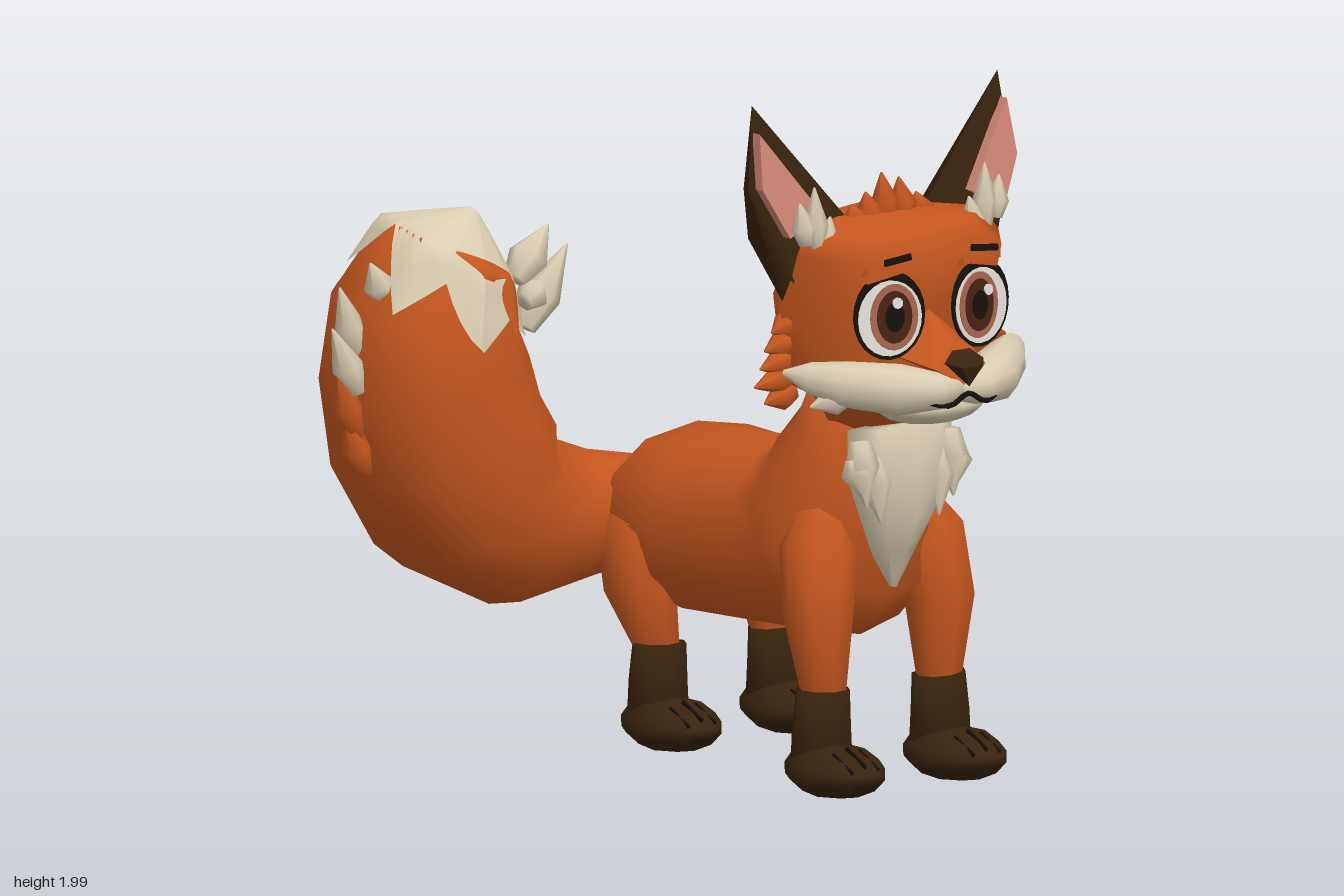
import * as THREE from 'three';
import { toCreasedNormals } from 'three/addons/utils/BufferGeometryUtils.js';
import { ConvexGeometry } from 'three/addons/geometries/ConvexGeometry.js';

const V = (x, y, z) => new THREE.Vector3(x, y, z);
const mat = (name, color, side = THREE.FrontSide) => new THREE.MeshStandardMaterial({ name, color, side });
const M = {
  orange: mat('orange fur', 0xc6571f, THREE.DoubleSide),
  brown: mat('dark brown fur', 0x38230d),
  cream: mat('cream fur', 0xd9ccb0, THREE.DoubleSide),
  pink: mat('ear pink', 0xcd8472),
  white: mat('eye white', 0xe6e2dc),
  iris: mat('iris rim', 0xa8674f),
  deep: mat('iris brown', 0x4a2114),
  black: mat('black', 0x15100c),
};
const pow = (c, k) => Math.sign(c) * Math.abs(c) ** k;

// Closed smooth skin over a list of rings, wound outwards
function skin(rings) {
  const n = rings[0].length, pos = [], idx = [];
  rings.forEach(r => r.forEach(p => pos.push(p.x, p.y, p.z)));
  for (let i = 0; i < rings.length - 1; i++) for (let j = 0; j < n; j++) {
    const a = i * n + j, b = i * n + (j + 1) % n;
    idx.push(a, b, a + n, b, b + n, a + n);
  }
  [0, rings.length - 1].forEach((k, e) => {
    const c = rings[k].reduce((s, p) => s.add(p), V(0, 0, 0)).divideScalar(n);
    const m = pos.length / 3;
    pos.push(c.x, c.y, c.z);
    for (let j = 0; j < n; j++) {
      const a = k * n + j, b = k * n + (j + 1) % n;
      e ? idx.push(a, b, m) : idx.push(b, a, m);
    }
  });
  const at = i => V(pos[3 * i], pos[3 * i + 1], pos[3 * i + 2]);
  let vol = 0;
  for (let i = 0; i < idx.length; i += 3) vol += at(idx[i]).dot(at(idx[i + 1]).cross(at(idx[i + 2])));
  if (vol < 0) idx.reverse();
  return indexed(pos, idx);
}
function indexed(pos, idx) {
  const g = new THREE.BufferGeometry();
  g.setAttribute('position', new THREE.Float32BufferAttribute(pos, 3));
  g.setIndex(idx);
  g.computeVertexNormals();
  return g;
}

// Rounded rings along a path; radii are [along ref, across]
function ringsAlong(pts, radii, ref, n, k = 1) {
  return pts.map((p, i) => {
    const t = pts[Math.min(i + 1, pts.length - 1)].clone().sub(pts[Math.max(i - 1, 0)]).normalize();
    const b = t.clone().cross(ref).normalize(), a = t.clone().cross(b);
    if (a.dot(ref) < 0) a.negate();
    return Array.from({ length: n }, (_, j) => {
      const w = j / n * Math.PI * 2;
      return p.clone().addScaledVector(a, pow(Math.cos(w), k) * radii[i][0]).addScaledVector(b, pow(Math.sin(w), k) * radii[i][1]);
    });
  });
}
const limb = (pts, radii, ref = V(0, 0, 1), n = 8) => skin(ringsAlong(pts, radii, ref, n));

export function createModel() {
  const root = new THREE.Group(), fox = new THREE.Group();
  fox.name = 'fox';
  fox.position.x = 0.365;
  root.add(fox);
  const add = (name, geo, m, parent = fox) => {
    const mesh = new THREE.Mesh(geo, m);
    mesh.name = name;
    parent.add(mesh);
    return mesh;
  };
  // Pointed tuft of fur
  const tuft = (name, b, t, r, m, parent) => {
    const d = t.clone().sub(b).normalize(), ref = Math.abs(d.y) > 0.8 ? V(0, 0, 1) : V(0, 1, 0);
    add(name, limb([b, b.clone().lerp(t, 0.4), t], [[r * 0.6, r * 0.6], [r, r], [0.003, 0.003]], ref, 6), m, parent);
  };

  // Body: each ring is back/top (z, y), belly/front (z, y), half width
  const body = [[-.585, .78, -.57, .68, .07], [-.42, .9, -.47, .42, .32], [-.25, .91, -.28, .37, .285], [.06, .94, .08, .39, .26],
    [.1, .94, .36, .42, .265], [.15, 1, .51, .56, .275], [.21, 1.08, .54, .88, .2], [.24, 1.17, .52, 1.12, .15]];
  add('body', skin(body.map(([z1, y1, z2, y2, w]) => Array.from({ length: 12 }, (_, j) => {
    const a = j / 12 * Math.PI * 2, k = Math.cos(a) / 2;
    return V(pow(Math.sin(a), .85) * w, (y1 + y2) / 2 + k * (y1 - y2), (z1 + z2) / 2 + k * (z1 - z2));
  }))), M.orange);

  // Head: y, half width, back z, front z
  const head = [[1.03, .13, .24, .53], [1.14, .22, .25, .64], [1.21, .35, .23, .68], [1.42, .36, .19, .69],
    [1.575, .345, .27, .75], [1.635, .31, .33, .64], [1.66, .18, .36, .54]];
  const plan = [[0, 1], [.64, .93], [1, .15], [.72, -.55], [0, -1], [-.72, -.55], [-1, .15], [-.64, .93]];
  add('head', skin(head.map(([y, w, b, f]) => plan.map(([x, t]) => V(x * w, y, (b + f) / 2 + t * (f - b) / 2)))), M.orange);

  // Snout, chin, nose and mouth
  add('snoutBridge', new ConvexGeometry([V(0, 1.41, .69), V(.14, 1.3, .68), V(-.14, 1.3, .68), V(.085, 1.27, .845),
    V(-.085, 1.27, .845), V(0, 1.34, .81), V(0, 1.22, .86)]), M.orange);
  const chin = add('chin', new THREE.SphereGeometry(1, 14, 10), M.cream);
  chin.position.set(0, 1.145, .69);
  chin.scale.set(.17, .06, .13);
  add('nose', new ConvexGeometry([V(.068, 1.29, .86), V(-.068, 1.29, .86), V(.03, 1.32, .845), V(-.03, 1.32, .845),
    V(0, 1.22, .885), V(.035, 1.28, .905), V(-.035, 1.28, .905)]), M.brown);
  const lip = new THREE.CatmullRomCurve3([V(-.13, 1.185, .845), V(-.06, 1.17, .875), V(0, 1.2, .88), V(.06, 1.17, .875), V(.13, 1.185, .845)]);
  add('mouth', new THREE.TubeGeometry(lip, 16, .008, 5), M.black);

  // Hair on top
  [[-.115, 1.69], [-.065, 1.72], [-.01, 1.77], [.05, 1.75], [.11, 1.7]].forEach(([x, y]) =>
    tuft('foreheadHair', V(x + .01, 1.62, .49), V(x - .01, y, .49), .043, M.orange));

  for (const s of [1, -1]) {
    const P = (x, y, z) => V(x * s, y, z);
    // Muzzle lobe sweeping back over the cheek
    add('muzzle', limb([P(.0, 1.205, .835), P(.06, 1.205, .83), P(.16, 1.21, .77), P(.28, 1.225, .67), P(.35, 1.24, .6), P(.395, 1.25, .54)],
      [[.035, .03], [.052, .06], [.075, .08], [.066, .06], [.045, .04], [.008, .008]], V(0, 1, 0), 10), M.cream);
    tuft('muzzleTuft', P(.26, 1.19, .67), P(.36, 1.16, .62), .045, M.cream);

    // Eye: stacked thin discs
    const eye = new THREE.Group();
    eye.name = 'eye';
    eye.position.set(.157 * s, 1.415, .718);
    eye.rotation.set(-.03, .16 * s, 0);
    fox.add(eye);
    [['eyeOutline', .112, .127, 0, M.black], ['eyeWhite', .1, .108, -.008, M.white], ['irisRim', .075, .095, -.005, M.iris],
      ['iris', .055, .075, -.005, M.deep], ['pupil', .03, .042, -.005, M.black]].forEach(([n, rx, ry, y, m], i) => {
      const d = add(n, new THREE.CylinderGeometry(1, 1, .006, 24), m, eye);
      d.rotation.x = Math.PI / 2;
      d.scale.set(rx, 1, ry);
      d.position.set(i > 1 ? -.012 * s : 0, y, i * .003);
    });
    const glint = add('eyeGlint', new THREE.CylinderGeometry(.016, .016, .006, 12), M.white, eye);
    glint.rotation.x = Math.PI / 2;
    glint.position.set(.02, .035, .015);
    const lid = add('eyelid', new ConvexGeometry([P(.06, 1.525, .71), P(.25, 1.525, .67), P(.08, 1.56, .75), P(.23, 1.56, .72),
      P(.08, 1.535, .752), P(.23, 1.535, .722)]), M.orange);
    lid.position.z = -.005;
    const brow = add('eyebrow', new THREE.BoxGeometry(.09, .018, .009), M.black);
    brow.position.set(.15 * s, 1.578, .75);
    brow.rotation.z = -.1 * s;

    // Ear shell, pink lining and tufts
    add('ear', toCreasedNormals(new ConvexGeometry([P(.425, 2, .43), P(.455, 1.76, .455), P(.35, 1.43, .48), P(.345, 1.5, .525), P(.14, 1.66, .48),
      P(.2, 1.64, .37), P(.29, 1.68, .335), P(.38, 1.6, .35), P(.41, 1.75, .37), P(.3, 1.5, .38)]), .9), M.brown);
    const lining = [[.428, 1.925, .472], [.44, 1.77, .505], [.37, 1.63, .54], [.26, 1.69, .54]];
    add('earLining', new ConvexGeometry(lining.flatMap(([x, y, z]) => [P(x, y, z), P(x, y, z - .035)])), M.pink);
    [[.26, 1.68, .24], [.29, 1.77, .295], [.325, 1.73, .345]].forEach(([x, y, tx], i) =>
      tuft('earTuft', P(x, 1.57 + .02 * i, .555), P(tx, y, .55), .036, M.cream));

    // Cheek fur
    [1.16, 1.21, 1.26, 1.31, 1.36].forEach((y, i) =>
      tuft('cheekFur', P(.31, y + .015, .47), P([.41, .445, .425, .41, .385][i], y - .01, .47), .043, M.orange));

    // Bib side tufts
    [[.155, 1.03, .15, .84], [.11, .98, .1, .79], [.17, .98, .16, .87]].forEach(([x, y, tx, ty]) =>
      tuft('bibTuft', P(x, y, .575), P(tx, ty, .6), .05, M.cream));

    // Legs, socks and paws
    add('frontLeg', limb([P(.12, .88, .36), P(.185, .7, .42), P(.21, .52, .45), P(.2, .3, .46), P(.2, .19, .425)],
      [[.05, .05], [.11, .115], [.095, .105], [.06, .07], [.03, .02]]), M.orange);
    add('hindLeg', limb([P(.14, .82, -.4), P(.215, .63, -.41), P(.225, .46, -.385), P(.2, .29, -.34), P(.2, .15, -.395)],
      [[.05, .05], [.14, .11], [.11, .1], [.06, .07], [.015, .03]]), M.orange);
    for (const z of [.46, -.325]) {
      add('sock', limb([P(.2, .305, z), P(.205, .2, z), P(.205, .07, z)], [[.065, .085], [.072, .092], [.075, .1]]), M.brown);
      add('paw', limb([P(.205, .075, z - .085), P(.205, .083, z), P(.21, .083, z + .1), P(.21, .08, z + .18), P(.21, .085, z + .23)],
        [[.05, .07], [.075, .115], [.075, .135], [.055, .1], [.02, .05]], V(0, 1, 0), 10), M.brown);
      for (const x of [-.045, 0, .045]) {
        const slit = add('toeLine', new THREE.BoxGeometry(.007, .03, .1), M.black);
        slit.position.set((.21 + x) * s, .128 - Math.abs(x) * .3, z + .168);
        slit.rotation.x = .4;
      }
    }
  }

  // Chest bib narrowing to a point
  add('bib', skin([[1.06, .18, .55, .63], [.92, .18, .55, .64], [.8, .13, .54, .635], [.7, .08, .52, .585], [.585, .008, .515, .535]]
    .map(([y, w, b, f]) => [[-1, b], [-.6, (b + 2 * f) / 3], [0, f], [.6, (b + 2 * f) / 3], [1, b], [0, b - .04]].map(([x, z]) => V(x * w, y, z)))), M.cream);

  // Tail in world coordinates
  const tail = new THREE.Group();
  tail.name = 'tail';
  root.add(tail);
  const path = [V(.36, .66, -.44), V(.1, .645, -.58), V(-.14, .65, -.62), V(-.31, .77, -.6), V(-.42, .94, -.59), V(-.47, 1.13, -.575),
    V(-.48, 1.3, -.56), V(-.42, 1.475, -.535), V(-.35, 1.57, -.51)];
  const N = 12;
  const rings = ringsAlong(path, [[.11, .13], [.18, .18], [.27, .25], [.3, .3], [.3, .3], [.295, .285], [.275, .25], [.2, .19], [.004, .004]], V(0, 0, 1), N, .88);
  add('tailFur', skin(rings), M.orange, tail);
  // Point on the tail surface: u counts rings, v counts ring corners (0 front, 3 towards the body)
  const onTail = (u, v, lift) => {
    const i = Math.min(Math.floor(u), rings.length - 2), f = u - i, w = ((v % N) + N) % N, j = Math.floor(w);
    const row = k => rings[k][j].clone().lerp(rings[k][(j + 1) % N], w - j);
    const c = path[i].clone().lerp(path[i + 1], f), p = row(i).lerp(row(i + 1), f);
    const out = p.clone().sub(c).normalize();
    if (u > 7) out.add(V(.7, .9, .2).multiplyScalar(u - 7)).normalize();
    return p.addScaledVector(out, lift);
  };
  // Sheet over the tail from a rule (a, b in 0..1) -> point
  const sheet = (fn, na, nb) => {
    const pos = [], idx = [];
    for (let i = 0; i <= na; i++) for (let j = 0; j <= nb; j++) pos.push(...fn(i / na, j / nb).toArray());
    for (let i = 0; i < na; i++) for (let j = 0; j < nb; j++) {
      const a = i * (nb + 1) + j, b = a + nb + 1;
      idx.push(a, a + 1, b, a + 1, b + 1, b);
    }
    return indexed(pos, idx);
  };
  // Jagged cream tip, lower in front and towards the body
  const edge = b => {
    const w = b * Math.PI * 2, zig = Math.abs((Math.round(b * 48) % 8) / 4 - 1);
    return 6.4 - .3 * Math.cos(w) - .25 * Math.sin(w) + (.5 - zig) * .75;
  };
  add('tailTip', sheet((a, b) => onTail(edge(b) + (8 - edge(b)) * a, b * N, .014), 10, 48), M.cream, tail);
  // Orange streaks in the tip: corner, half width, start and end along the tail
  [[1, .45, 5.8, 7.1], [.1, 1.1, 6.88, 7.18], [4, .7, 5.9, 7.55]].forEach(([v, w, u0, u1]) =>
    add('tailStreak', sheet((a, b) => onTail(u0 + (u1 - u0) * a, v + (b - .5) * 2 * w * Math.sin(Math.PI * (.05 + .9 * a * a)), .021), 10, 6), M.orange, tail));

  // Tail tufts
  [[-.23, 1.24, -.43, -.08, 1.46, -.43, .06], [-.26, 1.38, -.43, -.13, 1.52, -.45, .06], [-.25, 1.32, -.4, -.16, 1.36, -.42, .05],
    [-.66, 1.36, -.5, -.71, 1.47, -.5, .045], [-.72, 1.2, -.55, -.78, 1.4, -.55, .045], [-.74, 1.1, -.52, -.82, 1.29, -.53, .045]]
    .forEach(([a, b, c, d, e, f, r]) => tuft('tailTuft', V(a, b, c), V(d, e, f), r, M.cream, tail));
  [[-.73, .97, -.8, 1.18], [-.7, .86, -.77, 1.04]]
    .forEach(([a, b, d, e]) => tuft('tailTuftOrange', V(a, b, -.54), V(d, e, -.54), .045, M.orange, tail));
  return root;
}
